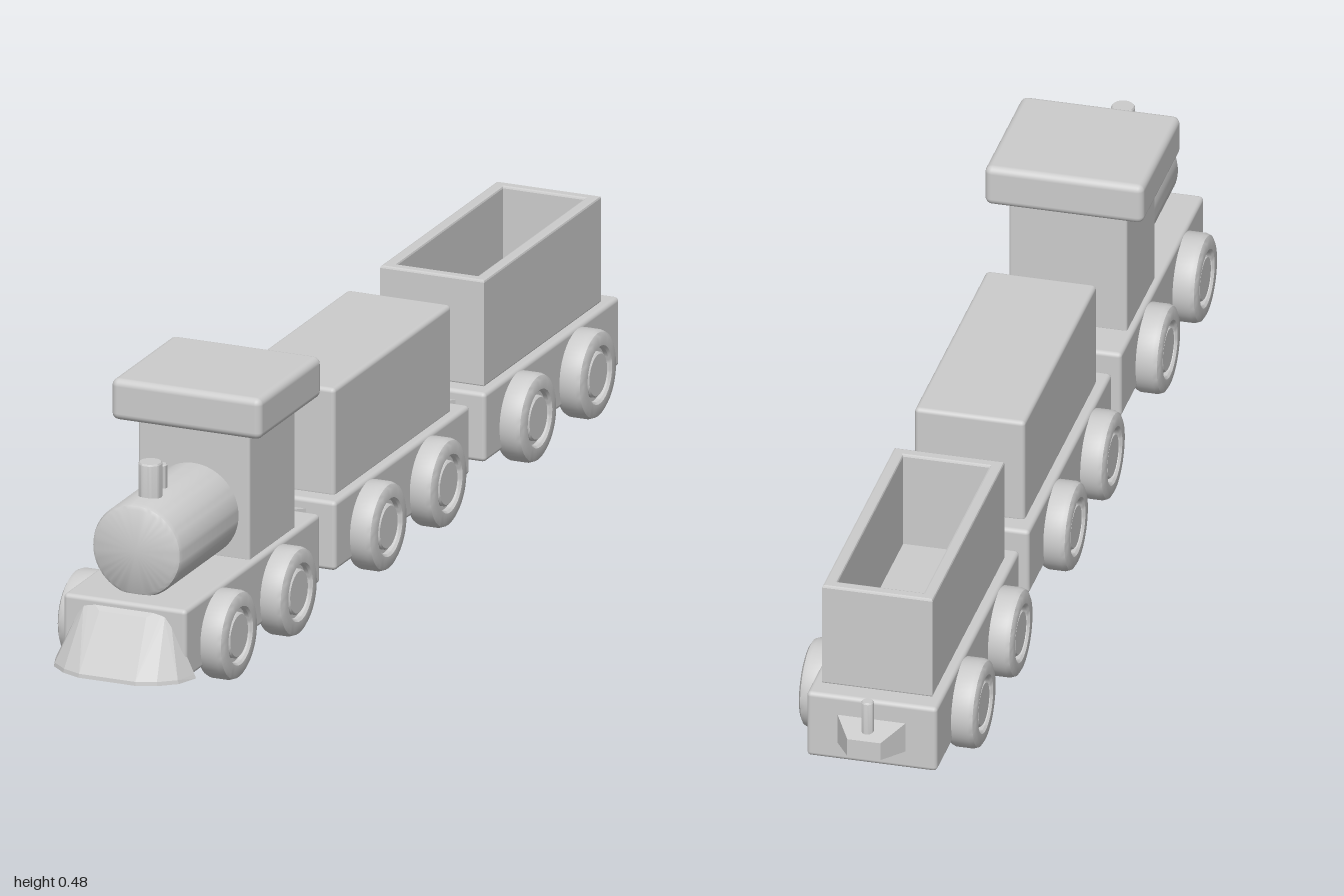
import * as THREE from 'three';
import { toCreasedNormals } from 'three/addons/utils/BufferGeometryUtils.js';
import { RoundedBoxGeometry } from 'three/addons/geometries/RoundedBoxGeometry.js';
import { ConvexGeometry } from 'three/addons/geometries/ConvexGeometry.js';

export function createModel() {
  const grey = new THREE.MeshStandardMaterial({ color: 0xcccccc });
  grey.name = 'plain grey';
  const model = new THREE.Group();
  model.name = 'toyTrain';

  const add = (parent, name, geometry, x = 0, y = 0, z = 0) => {
    const mesh = new THREE.Mesh(geometry, grey);
    mesh.name = name;
    mesh.position.set(x, y, z);
    parent.add(mesh);
    return mesh;
  };

  // Rounded block given by half width, bottom/top and back/front
  const block = (parent, name, hw, y0, y1, z0, z1, r = 0.008) =>
    add(parent, name, new RoundedBoxGeometry(hw * 2, y1 - y0, z1 - z0, 3, r),
      0, (y0 + y1) / 2, (z0 + z1) / 2);

  // Turned part from [radius, height] pairs, listed from bottom to top
  const turned = (points, sides = 48) => toCreasedNormals(
    new THREE.LatheGeometry(points.map(p => new THREE.Vector2(p[0], p[1])), sides), 0.6);

  // Wheel with rounded tyre edge, recessed ring and hub
  const wheelGeometry = turned([
    [0, -0.026], [0.07, -0.026], [0.077, -0.023], [0.08, -0.016],
    [0.08, 0.014], [0.077, 0.022], [0.07, 0.026], [0.053, 0.026],
    [0.049, 0.022], [0.049, 0.014], [0.041, 0.014], [0.041, 0.02],
    [0.038, 0.023], [0, 0.023]]);

  // Coupler block, tapering from the chassis (z = 0) to its free end
  const couplerGeometry = (length, base, end) => {
    const g = new THREE.BoxGeometry(2, 1, length);
    const p = g.attributes.position;
    for (let i = 0; i < p.count; i++) {
      const s = p.getZ(i) > 0 ? end : base;
      p.setXYZ(i, p.getX(i) * s.w, p.getY(i) > 0 ? s.top : s.bottom, p.getZ(i) + length / 2);
    }
    g.computeVertexNormals();
    return g;
  };
  const rearCoupler = couplerGeometry(0.055,
    { w: 0.062, bottom: 0.07, top: 0.127 }, { w: 0.03, bottom: 0.078, top: 0.112 });
  const frontCoupler = couplerGeometry(0.052,
    { w: 0.062, bottom: 0.112, top: 0.145 }, { w: 0.03, bottom: 0.116, top: 0.152 });

  // Running gear shared by the engine and both wagons
  const vehicle = (name, centre, hasFrontCoupler) => {
    const group = new THREE.Group();
    group.name = name;
    group.position.z = centre;
    model.add(group);
    block(group, 'chassis', 0.118, 0.036, 0.164, -0.29, 0.29);
    for (const z of [0.148, -0.11]) {
      for (const side of [1, -1]) {
        const wheel = add(group, side > 0 ? 'leftWheel' : 'rightWheel', wheelGeometry, side * 0.134, 0.08, z);
        wheel.rotation.z = -side * Math.PI / 2;
      }
    }
    add(group, 'rearCoupler', rearCoupler, 0, 0, -0.289).rotation.y = Math.PI;
    add(group, 'couplerPeg', turned([[0, 0], [0.011, 0], [0.011, 0.076], [0.009, 0.079], [0, 0.079]], 24),
      0, 0.1, -0.317);
    if (hasFrontCoupler) add(group, 'frontCoupler', frontCoupler, 0, 0, 0.289);
    return group;
  };

  // Engine
  const engine = vehicle('engine', 0.635, false);
  block(engine, 'cab', 0.107, 0.16, 0.42, -0.207, -0.009, 0.005);
  block(engine, 'cabRoof', 0.144, 0.4, 0.476, -0.239, 0.028, 0.013);
  const boiler = add(engine, 'boiler', turned([
    [0, 0], [0.086, 0], [0.086, 0.242], [0.083, 0.25], [0.077, 0.254], [0, 0.254]], 64), 0, 0.243, -0.012);
  boiler.rotation.x = Math.PI / 2;
  add(engine, 'chimney', turned([[0, 0], [0.021, 0], [0.021, 0.087], [0.019, 0.09], [0, 0.09]], 32),
    0, 0.3, 0.178);
  add(engine, 'whistle', turned([[0, 0], [0.011, 0], [0.011, 0.07], [0.009, 0.072], [0, 0.072]], 24),
    0, 0.3, 0.132);

  // Flared plough: one outline at the foot, a narrower one at the shoulder
  const plough = [];
  const outline = (y, points) => points.forEach(([x, z]) => {
    for (const side of [1, -1]) plough.push(new THREE.Vector3(side * x, y, z));
  });
  outline(0.04, [[0.135, 0.284], [0.12, 0.325], [0.09, 0.351], [0.055, 0.365]]);
  outline(0.047, [[0.132, 0.284], [0.118, 0.325], [0.089, 0.35], [0.054, 0.364]]);
  outline(0.144, [[0.086, 0.284], [0.078, 0.292], [0.045, 0.297]]);
  outline(0.163, [[0.072, 0.28]]);
  add(engine, 'plough', new ConvexGeometry(plough));

  // Closed wagon
  const closedWagon = vehicle('closedWagon', -0.01, true);
  block(closedWagon, 'cargoBox', 0.1, 0.158, 0.36, -0.251, 0.254);

  // Open wagon: four walls around a floor
  const openWagon = vehicle('openWagon', -0.655, true);
  const rectangle = (path, hw, hl) => path.moveTo(-hw, -hl).lineTo(hw, -hl)
    .lineTo(hw, hl).lineTo(-hw, hl).closePath();
  const bevel = 0.004;
  const walls = rectangle(new THREE.Shape(), 0.1 - bevel, 0.252 - bevel);
  walls.holes.push(rectangle(new THREE.Path(), 0.078 + bevel, 0.23 + bevel));
  const wallGeometry = new THREE.ExtrudeGeometry(walls, {
    depth: 0.19, bevelEnabled: true, bevelSize: bevel, bevelThickness: bevel, bevelSegments: 2 });
  add(openWagon, 'wagonWalls', wallGeometry, 0, 0.166, 0.002).rotation.x = -Math.PI / 2;
  add(openWagon, 'wagonFloor', new THREE.BoxGeometry(0.17, 0.02, 0.47), 0, 0.17, 0.002);

  return model;
}
